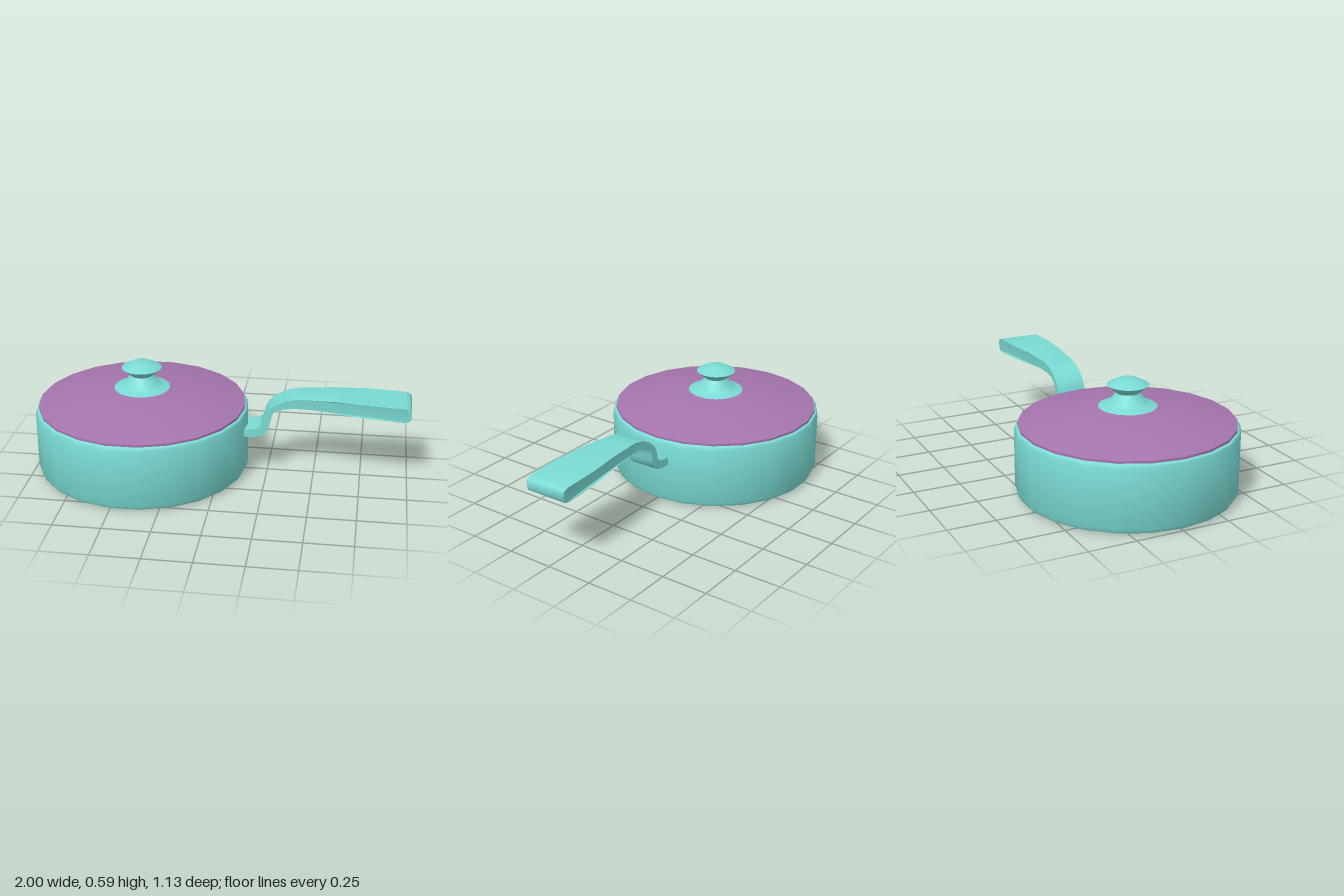
import * as THREE from 'three';
import { toCreasedNormals } from 'three/addons/utils/BufferGeometryUtils.js';

const SIDES = 22;
const POT_X = -0.43;
const teal = new THREE.MeshStandardMaterial({ color: 0x7adad3, side: THREE.DoubleSide });
const purple = new THREE.MeshStandardMaterial({ color: 0xa575ad, side: THREE.DoubleSide });

const toPoints = (list) => list.map(([x, y]) => new THREE.Vector2(x, y));

// A round part turned about the pot's axis, with a corner pointing along x
function turned(name, profile, material) {
  const geometry = new THREE.LatheGeometry(toPoints(profile), SIDES, Math.PI / 2);
  const mesh = new THREE.Mesh(toCreasedNormals(geometry, 0.6), material);
  mesh.name = name;
  mesh.position.x = POT_X;
  return mesh;
}

// Half the handle's width: narrow at the neck, broad at the grip
function handleHalfWidth(x) {
  const stations = [[0, 0.08], [0.48, 0.08], [0.6, 0.098], [0.77, 0.115], [1.1, 0.115]];
  for (let i = 1; i < stations.length; i++) {
    const [x0, w0] = stations[i - 1];
    const [x1, w1] = stations[i];
    if (x <= x1) return w0 + ((w1 - w0) * (x - x0)) / (x1 - x0);
  }
  return 0.115;
}

// S-curved handle: side outline extruded across, then tapered in width
function makeHandle() {
  const outline = toPoints([
    [0.12, 0.225], [0.18, 0.225], [0.225, 0.236], [0.254, 0.26], [0.265, 0.3], [0.271, 0.34],
    [0.285, 0.372], [0.32, 0.393], [0.385, 0.403], [0.48, 0.403], [0.6, 0.397], [0.77, 0.387],
    [0.965, 0.375], [0.99, 0.38], [1, 0.395],
    [1, 0.433], [0.99, 0.446], [0.965, 0.452], [0.77, 0.46], [0.6, 0.463], [0.48, 0.463],
    [0.41, 0.457], [0.345, 0.443], [0.29, 0.415], [0.25, 0.38], [0.23, 0.34], [0.222, 0.3],
    [0.21, 0.283], [0.18, 0.272], [0.12, 0.266],
  ]);
  const geometry = new THREE.ExtrudeGeometry(new THREE.Shape(outline), { depth: 2, bevelEnabled: false });
  geometry.translate(0, 0, -1);
  const p = geometry.attributes.position;
  for (let i = 0; i < p.count; i++) p.setZ(i, p.getZ(i) * handleHalfWidth(p.getX(i)));
  const mesh = new THREE.Mesh(toCreasedNormals(geometry, 0.8), teal);
  mesh.name = 'handle';
  return mesh;
}

export function createModel() {
  const model = new THREE.Group();
  model.name = 'saucepan';

  // Outer wall, open underneath, folding over the rim into a flared inner bowl
  model.add(turned('pot', [
    [0.545, 0], [0.561, 0.008], [0.5725, 0.03], [0.5725, 0.335], [0.566, 0.35], [0.553, 0.357],
    [0.54, 0.345], [0.46, 0.02], [0, 0.02],
  ], teal));

  // Shallow domed lid
  model.add(turned('lid', [
    [0, 0.352], [0.555, 0.357], [0.555, 0.369], [0.37, 0.418], [0.15, 0.449], [0, 0.455],
  ], purple));

  // Waisted knob on its spreading base plate
  model.add(turned('lidKnob', [
    [0.156, 0.447], [0.108, 0.463], [0.1, 0.466], [0.06, 0.52], [0.107, 0.561], [0.047, 0.592], [0, 0.592],
  ], teal));

  model.add(makeHandle());
  return model;
}
